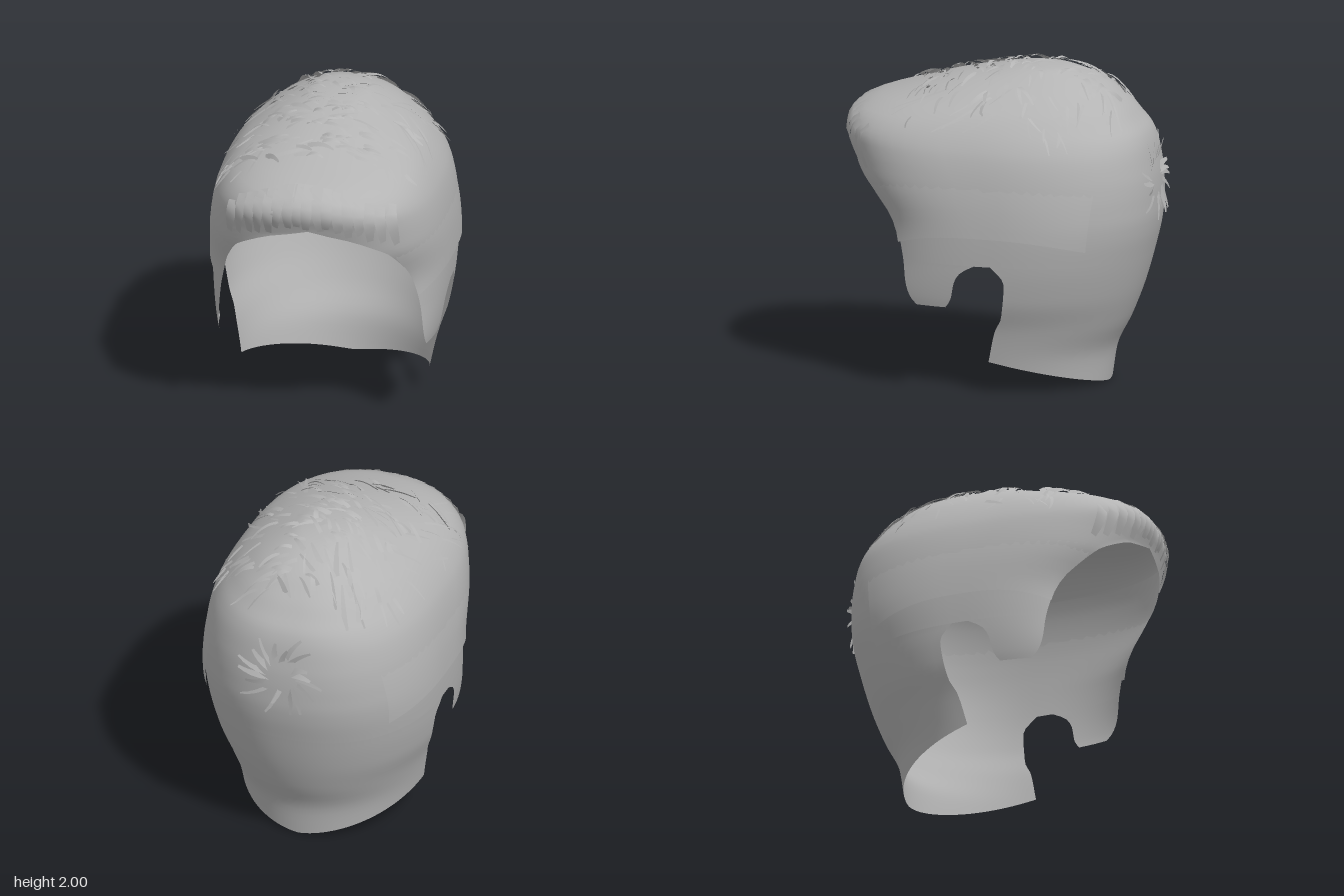
import * as THREE from 'three';
import { mergeGeometries, mergeVertices } from 'three/addons/utils/BufferGeometryUtils.js';

const { PI, abs, sin, cos, sign, pow, min, max } = Math;
const lerp = THREE.MathUtils.lerp;

// Horizontal sections of the hair: height, half width, front z, back z
const SECTIONS = [
  [0, 0.55, 0.72, -0.63], [0.2, 0.59, 0.78, -0.66], [0.4, 0.632, 0.82, -0.755], [0.6, 0.695, 0.81, -0.83],
  [0.83, 0.728, 0.76, -0.893], [1.0, 0.738, 0.75, -0.93], [1.1, 0.74, 0.78, -0.94], [1.2, 0.738, 0.84, -0.94],
  [1.3, 0.73, 0.9, -0.935], [1.4, 0.715, 0.93, -0.92], [1.5, 0.69, 0.96, -0.9], [1.58, 0.655, 0.985, -0.87],
  [1.66, 0.605, 0.965, -0.81], [1.73, 0.545, 0.865, -0.755], [1.78, 0.485, 0.72, -0.705], [1.84, 0.4, 0.52, -0.64],
  [1.89, 0.31, 0.34, -0.56], [1.93, 0.225, 0.15, -0.46], [1.96, 0.145, -0.02, -0.36], [1.975, 0, -0.2, -0.2],
];
// Corner fullness of the sections: height, back exponent, front exponent
const FULLNESS = [[0, 2, 2.9], [0.3, 2.05, 2.9], [1.0, 2.25, 2.9], [1.5, 2.45, 2.9], [1.6, 2.45, 2.75], [1.76, 2.4, 2.2], [1.9, 2.3, 2.1]];
// Cut edges as [height, value]: front hairline by x, the others by z
const HAIRLINE = [[0.55, 0.645], [0.83, 0.625], [1.1, 0.57], [1.2, 0.53], [1.3, 0.47], [1.36, 0.38], [1.4, 0.3], [1.44, 0.18], [1.47, 0]];
const NAPE_EDGE = [[0.2, -0.02], [0.4, -0.07], [0.5, -0.12], [0.73, -0.15], [0.83, -0.07]];
const BURN_EDGE = [[0.55, 0.23], [0.6, 0.195], [0.72, 0.165], [0.78, 0.125], [0.83, 0.035]];

// Smooth monotone interpolation through a table column
function table(rows, y, col = 1) {
  const n = rows.length - 1;
  y = min(max(y, rows[0][0]), rows[n][0]);
  let i = 0;
  while (i < n - 1 && y > rows[i + 1][0]) i++;
  const slope = (k) => (rows[k + 1][col] - rows[k][col]) / (rows[k + 1][0] - rows[k][0]);
  const tangent = (k) => {
    if (k === 0) return slope(0);
    if (k === n) return slope(n - 1);
    const a = slope(k - 1), b = slope(k);
    return a * b <= 0 ? 0 : (2 * a * b) / (a + b);
  };
  const h = rows[i + 1][0] - rows[i][0], t = (y - rows[i][0]) / h;
  return rows[i][col] * (1 + 2 * t) * (1 - t) ** 2 + tangent(i) * h * t * (1 - t) ** 2
    + rows[i + 1][col] * t * t * (3 - 2 * t) + tangent(i + 1) * h * t * t * (t - 1);
}

function section(y) {
  const w = table(SECTIONS, y, 1), f = table(SECTIONS, y, 2), b = table(SECTIONS, y, 3);
  return { w, c: (f + b) / 2, r: (f - b) / 2, back: table(FULLNESS, y, 1), front: table(FULLNESS, y, 2) };
}
// Point on the hair; angle a is 0 at the back and +-PI at the front
function surface(a, y, off = 0) {
  const { w, c, r, front, back } = section(y);
  const p = cos(a) < 0 ? front : back;
  return new THREE.Vector3(
    (w + off) * sign(sin(a)) * pow(abs(sin(a)), 2 / p), y,
    c - (r + off) * sign(cos(a)) * pow(abs(cos(a)), 2 / p));
}
function angleFromX(x, y, atFront) {
  const { w, front, back } = section(y);
  const s = Math.asin(pow(min(1, abs(x) / w), (atFront ? front : back) / 2));
  return (atFront ? PI - s : s) * (x < 0 ? -1 : 1);
}
function angleFromZ(z, y) {
  const { c, r, front, back } = section(y);
  const k = max(-1, min(1, (z - c) / r));
  return Math.acos(-sign(k) * pow(abs(k), (k > 0 ? front : back) / 2));
}
const hairAngle = (y) => (y >= 1.47 ? PI : angleFromX(table(HAIRLINE, y), y, true));

// Grid of points from a rule of (s, t), both 0..1
function patch(cols, rows, rule) {
  const pos = [], idx = [];
  for (let j = 0; j <= rows; j++) for (let i = 0; i <= cols; i++) pos.push(...rule(i / cols, j / rows).toArray());
  for (let j = 0; j < rows; j++) for (let i = 0; i < cols; i++) {
    const a = j * (cols + 1) + i, b = a + cols + 1;
    idx.push(a, b, a + 1, a + 1, b, b + 1);
  }
  let g = new THREE.BufferGeometry();
  g.setAttribute('position', new THREE.Float32BufferAttribute(pos, 3));
  g.setIndex(idx);
  g = mergeVertices(g, 1e-4);
  g.computeVertexNormals();
  return g;
}

// Thin ribbon along a path, narrowing by taper towards its tip
function strand(path, width, twist, taper) {
  return patch(1, 5, (s, t) => {
    const p = path(t);
    const dir = path(min(1, t + 0.05)).sub(path(max(0, t - 0.05))).normalize();
    const out = p.clone().sub(new THREE.Vector3(0, 1.1, 0)).normalize();
    const side = new THREE.Vector3().crossVectors(dir, out).normalize().applyAxisAngle(dir, twist);
    return p.addScaledVector(side, (s - 0.5) * width * (1 - taper * t * t));
  });
}
// Height of the crown above (x, z)
function crownY(x, z) {
  let lo = 1.6, hi = 1.975;
  for (let i = 0; i < 18; i++) {
    const y = (lo + hi) / 2, { w, c, r, front, back } = section(y), p = z > c ? front : back;
    if (pow(abs(x) / w, p) + pow(abs(z - c) / r, p) < 1) lo = y; else hi = y;
  }
  return lo;
}

export function createModel() {
  const group = new THREE.Group();
  const hair = new THREE.MeshStandardMaterial({ name: 'hair grey', color: 0xb4b4b4, side: THREE.DoubleSide });
  const add = (name, geos) => {
    const mesh = new THREE.Mesh(Array.isArray(geos) ? mergeGeometries(geos) : geos, hair);
    mesh.name = name;
    group.add(mesh);
  };
  let seed = 7;
  const rnd = (a = 0, b = 1) => {
    seed = (seed * 16807) % 2147483647;
    return a + (b - a) * seed / 2147483647;
  };

  // Crown shell, open at the face; its columns line up with the nape and sideburns
  const earAngle = angleFromZ(-0.07, 0.83), split = 22 / 35;
  add('crown', patch(70, 52, (s, t) => {
    const y = 0.83 + 1.145 * sin(t * PI / 2), q = s * 2 - 1, k = abs(q);
    const a = k < split ? earAngle * k / split : lerp(earAngle, hairAngle(y), (k - split) / (1 - split));
    return surface(sign(q) * a, y);
  }));

  // Back of the hair down to the neck
  add('nape', patch(44, 18, (s, t) => {
    const q = s * 2 - 1, y = lerp(0.2 * pow(abs(q), 1.3), 0.83, t);
    return surface(q * angleFromZ(table(NAPE_EDGE, y), y), y);
  }));

  for (const m of [1, -1]) {
    const side = m > 0 ? 'left' : 'right';
    // Strip in front of the ear
    add(side + 'Sideburn', patch(12, 10, (s, t) => {
      const y = lerp(0.55, 0.83, t);
      return surface(m * lerp(angleFromZ(table(BURN_EDGE, y), y), hairAngle(y), s), y);
    }));
    // Overlapping outer layer above the ear
    add(side + 'SideLayer', patch(20, 10, (s, t) => {
      const y = lerp(0.93 + 0.08 * sin(PI * s), 1.55, t);
      const back = angleFromZ(lerp(-0.63, -0.72, t), y);
      return surface(m * lerp(back, min(hairAngle(y), 2.5), s), y, lerp(0.016, -0.012, t));
    }));
  }

  // Rolled fringe locks along the forehead
  const fringe = [];
  for (let i = 0; i < 17; i++) {
    const x = (i - 8) * 0.06, start = 1.74 - 0.5 * x * x + rnd(-0.03, 0.01);
    const end = lerp(1.5, 1.35, pow(abs(x) / 0.5, 2)) + rnd(-0.02, 0.02), bend = rnd(-0.02, 0.02);
    fringe.push(strand((t) => {
      const y = lerp(start, end, t);
      return surface(angleFromX(x * (1 + 0.06 * t) + bend * t * t, y, true), y, 0.002 + 0.012 * sin(t * PI));
    }, 0.08, rnd(-0.2, 0.2), 0.5));
  }
  add('fringe', fringe);

  // Loose locks over the top, swept sideways in front and diagonally behind
  const locks = [];
  for (let i = 0; i < 165; i++) {
    const z = rnd(-0.73, 0.6), x = rnd(-0.48, 0.48), len = rnd(0.08, 0.19);
    const a = (z > -0.1 ? 0.15 : x < 0.1 ? 0.75 : -0.3) + rnd(-0.4, 0.4), lift = rnd(0.006, 0.028);
    const dx = cos(a) * len, dz = sin(a) * len, bend = rnd(-0.04, 0.05);
    if (crownY(x, z) < 1.66) continue;
    locks.push(strand((t) => {
      const px = x + dx * (t - 0.5), pz = z + dz * (t - 0.5) + bend * t * t;
      return new THREE.Vector3(px, crownY(px, pz) + lift * (0.2 + sin(t * 2.4)) - 0.003, pz);
    }, rnd(0.016, 0.038), rnd(-0.4, 0.4), 0.65));
  }
  add('topLocks', locks);

  // Small locks falling along the upper sides
  const sideLocks = [];
  for (let i = 0; i < 44; i++) {
    const m = i % 2 ? 1 : -1, a = rnd(0.7, 2.3), y0 = rnd(1.62, 1.85), drop = rnd(0.05, 0.13), sweep = rnd(-0.12, 0.12);
    sideLocks.push(strand((t) => surface(m * (a + sweep * t), y0 - drop * t, 0.003 + 0.018 * t), rnd(0.015, 0.03), rnd(-0.4, 0.4), 0.65));
  }
  add('sideLocks', sideLocks);

  // Whorl of locks radiating on the back of the head
  const whorl = [];
  for (let i = 0; i < 18; i++) {
    const a = i / 18 * PI * 2 + rnd(-0.15, 0.15), len = rnd(0.13, 0.25), r0 = rnd(0.03, 0.07);
    whorl.push(strand((t) => {
      const r = r0 + len * t, y = 1.3 + r * sin(a + 0.3 * t);
      return surface(angleFromX(r * cos(a + 0.3 * t), y, false), y, -0.015 + 0.045 * t);
    }, rnd(0.025, 0.045), rnd(-0.4, 0.4), 0.6));
  }
  add('whorl', whorl);

  return group;
}
